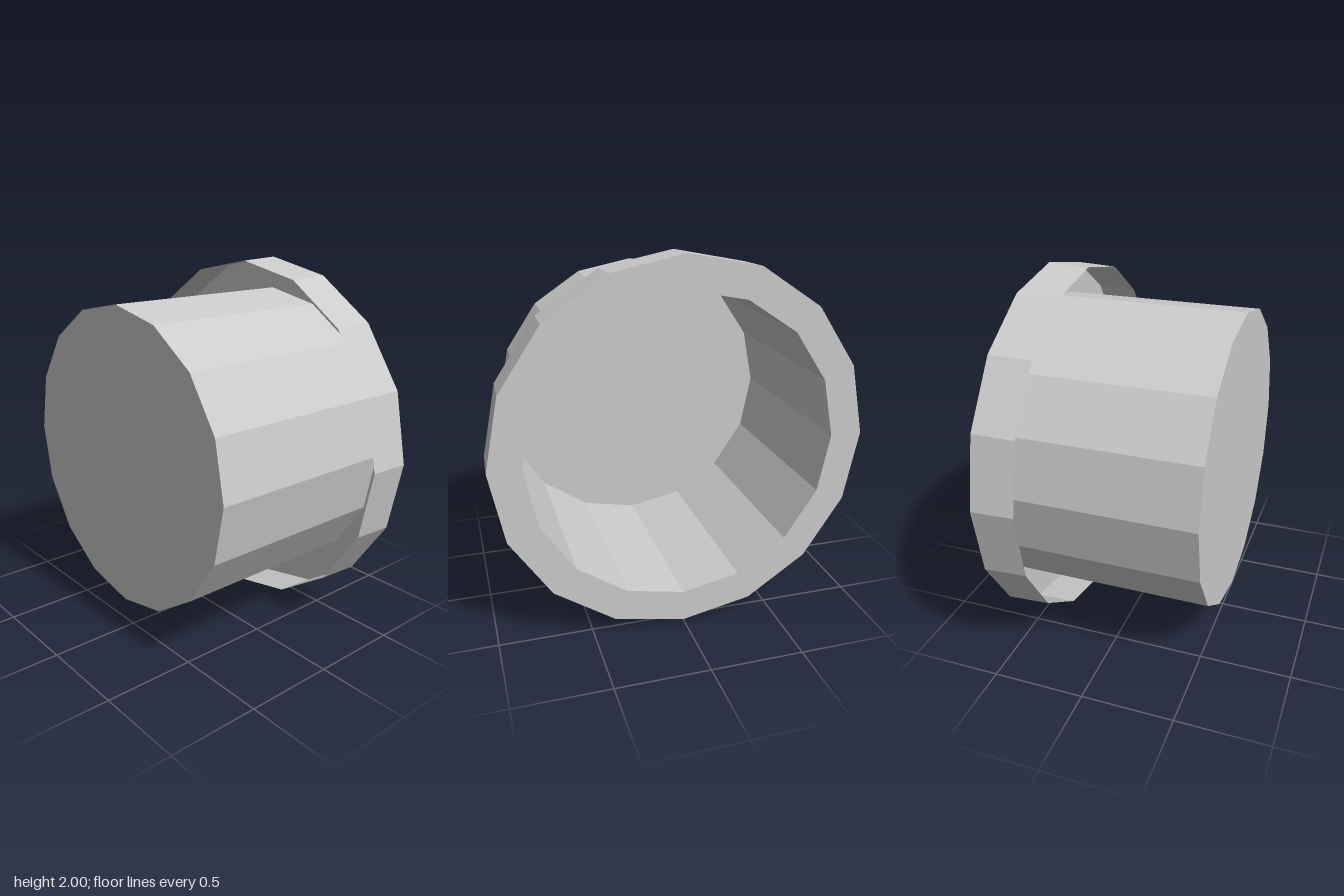
import * as THREE from 'three';

const SIDES = 16;
const CUP_R = 0.825;
const FRONT = 0.55, BACK = -0.55, LIP_FRONT = -0.32;

export function createModel() {
  const group = new THREE.Group();
  group.name = 'flangedCap';
  // thin sheet walls, seen from both sides
  const material = new THREE.MeshStandardMaterial({
    color: 0xcccccc, flatShading: true, side: THREE.DoubleSide,
  });

  const add = (name, geometry) => {
    const mesh = new THREE.Mesh(geometry, material);
    mesh.name = name;
    mesh.position.y = 1;
    group.add(mesh);
    return mesh;
  };
  // profile of [radius, z] points turned about the z axis
  const turned = (points) => new THREE.LatheGeometry(
    points.map(([r, z]) => new THREE.Vector2(r, z)), SIDES).rotateX(Math.PI / 2);

  // closed front face and open-backed cup wall
  add('frontCap', new THREE.CircleGeometry(CUP_R, SIDES)).position.z = FRONT;
  add('cupWall', turned([[CUP_R, BACK], [CUP_R, FRONT]]));

  // flat flange at the back, folded forward into a slightly tapered rim
  add('backFlange', turned([[CUP_R, BACK], [1, BACK]]));
  add('outerRim', turned([[1, BACK], [0.99, LIP_FRONT]]));

  return group;
}
